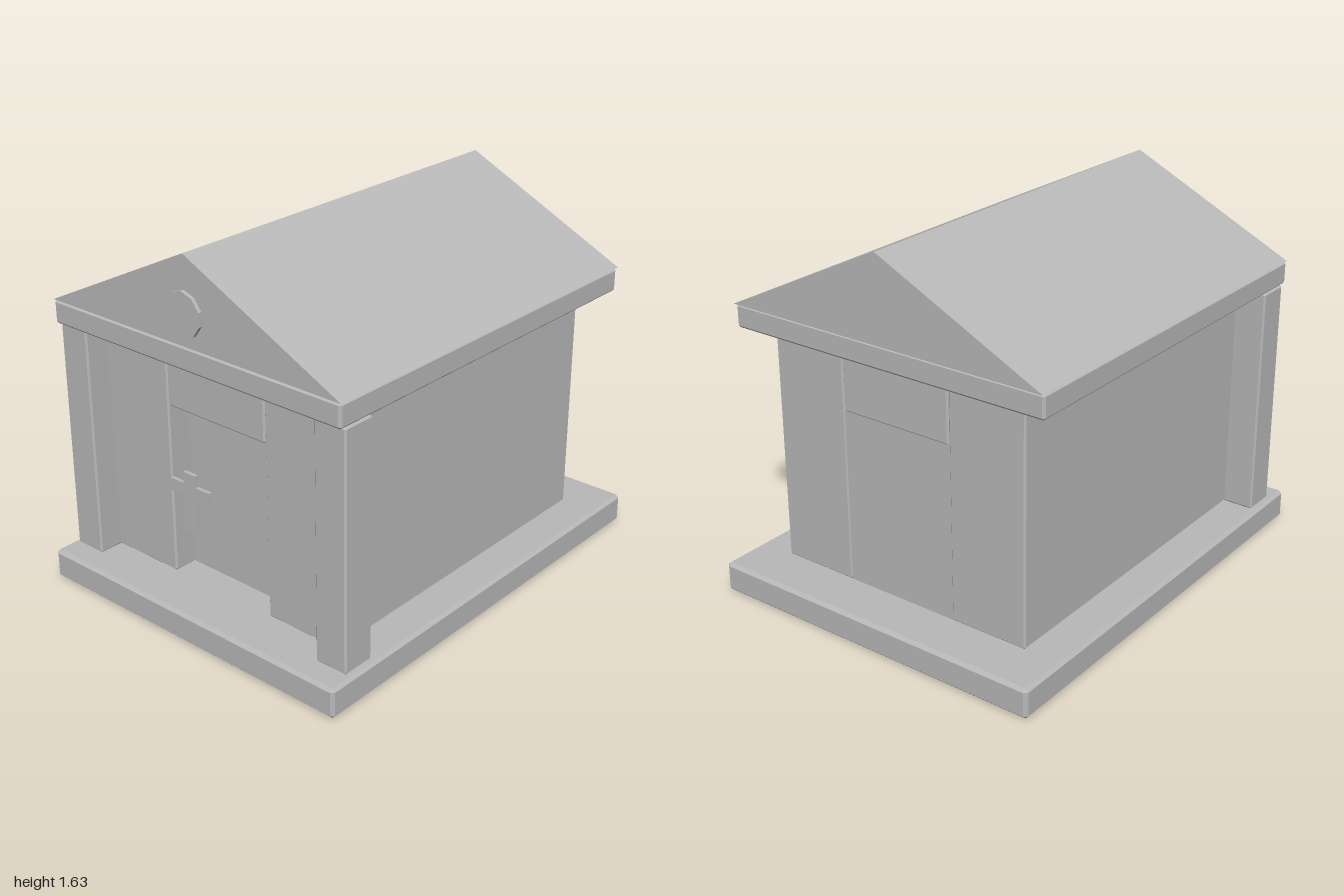
import * as THREE from 'three';
import { ConvexGeometry } from 'three/addons/geometries/ConvexGeometry.js';

// Box between two corners with a single flat chamfer along every edge
function chamferBox(x0, x1, y0, y1, z0, z1, b) {
  const c = new THREE.Vector3((x0 + x1) / 2, (y0 + y1) / 2, (z0 + z1) / 2);
  const h = new THREE.Vector3((x1 - x0) / 2, (y1 - y0) / 2, (z1 - z0) / 2);
  const pts = [];
  for (const sx of [-1, 1]) for (const sy of [-1, 1]) for (const sz of [-1, 1])
    for (let axis = 0; axis < 3; axis++) {
      const p = h.clone().subScalar(b);
      p.setComponent(axis, h.getComponent(axis));
      pts.push(p.multiply(new THREE.Vector3(sx, sy, sz)).add(c));
    }
  return new ConvexGeometry(pts);
}

function plainBox(x0, x1, y0, y1, z0, z1) {
  return new THREE.BoxGeometry(x1 - x0, y1 - y0, z1 - z0)
    .translate((x0 + x1) / 2, (y0 + y1) / 2, (z0 + z1) / 2);
}

// Closed outline extruded from z0 to z1
function prism(points, z0, z1) {
  const shape = new THREE.Shape(points.map(([x, y]) => new THREE.Vector2(x, y)));
  return new THREE.ExtrudeGeometry(shape, { depth: z1 - z0, bevelEnabled: false }).translate(0, 0, z0);
}

export function createModel() {
  const group = new THREE.Group();
  const stone = new THREE.MeshStandardMaterial({ color: 0xb8b8b8 });
  stone.name = 'grey stone';

  const add = (name, geometry) => {
    const mesh = new THREE.Mesh(geometry, stone);
    mesh.name = name;
    group.add(mesh);
  };

  // Plinth
  add('base', chamferBox(-0.787, 0.787, 0, 0.133, -1, 1, 0.014));

  // Side walls and front corner pillars
  for (const [side, s] of [['left', 1], ['right', -1]]) {
    const span = (a, b) => (s > 0 ? [a, b] : [-b, -a]);
    add(side + 'Wall', chamferBox(...span(0.265, 0.622), 0.133, 1.162, -0.785, 0.785, 0.007));
    add(side + 'Pillar', chamferBox(...span(0.61, 0.76), 0.133, 1.162, 0.745, 0.895, 0.007));
  }

  // Lintel over the recessed door block
  add('lintel', chamferBox(-0.262, 0.262, 0.897, 1.162, -0.785, 0.785, 0.007));
  add('door', plainBox(-0.268, 0.268, 0.13, 0.9, -0.78, 0.675));

  // Cross standing in front of the door
  const a = 0.033, w = 0.105;
  add('cross', prism([
    [-a, 0.48], [a, 0.48], [a, 0.638], [w, 0.638], [w, 0.69], [a, 0.69],
    [a, 0.74], [-a, 0.74], [-a, 0.69], [-w, 0.69], [-w, 0.638], [-a, 0.638],
  ], 0.92, 0.936));

  // Eaves slab and gabled roof
  add('eaves', chamferBox(-0.76, 0.76, 1.162, 1.265, -0.862, 0.922, 0.01));
  add('roof', prism([[-0.762, 1.265], [0.762, 1.265], [0, 1.635]], -0.87, 0.92));

  // Ten-sided medallion on the gable
  const ring = Array.from({ length: 10 }, (_, i) => {
    const t = Math.PI / 2 + (i * Math.PI) / 5;
    return [0.094 * Math.cos(t), 1.4 + 0.094 * Math.sin(t)];
  });
  add('gableMedallion', prism(ring, 0.915, 0.936));

  return group;
}
